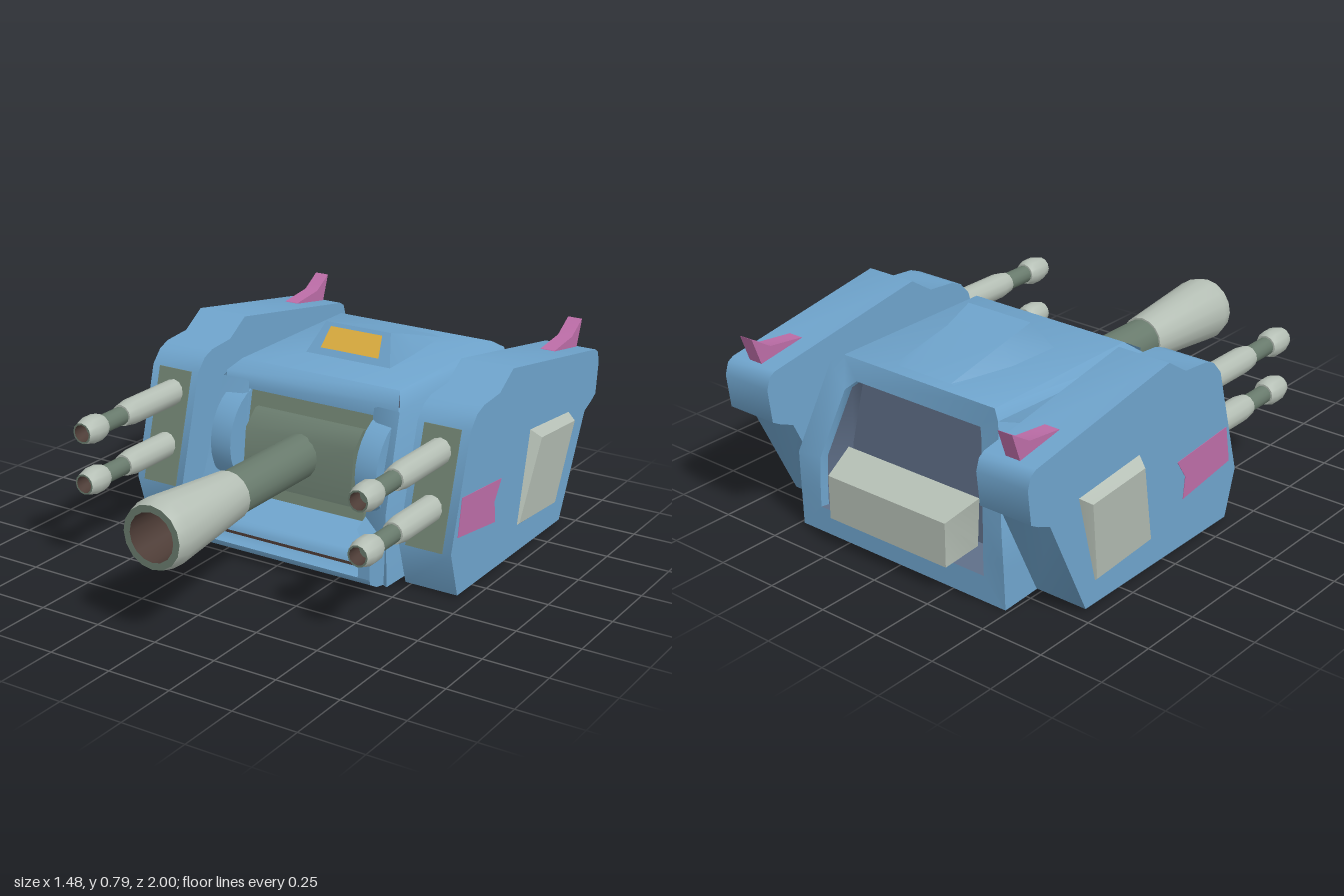
import * as THREE from 'three';
import { toCreasedNormals } from 'three/addons/utils/BufferGeometryUtils.js';

const mat = (name, color) => {
  const m = new THREE.MeshStandardMaterial({ color, side: THREE.DoubleSide });
  m.name = name;
  return m;
};

export function createModel() {
  const root = new THREE.Group();
  root.name = 'gunTurret';
  const blue = mat('blue paint', 0x6ea3cb);
  const slate = mat('slate interior', 0x5f6f88);
  const grey = mat('light grey metal', 0xb4beb4);
  const dark = mat('dark green metal', 0x687a6c);
  const olive = mat('olive panel', 0x718473);
  const brown = mat('dark brown', 0x4d3c36);
  const pink = mat('pink paint', 0xbb6ca6);
  const yellow = mat('yellow window', 0xe0b040);

  const add = (name, geo, material, parent = root, crease = 0.8) => {
    const m = new THREE.Mesh(toCreasedNormals(geo, crease), material);
    m.name = name;
    parent.add(m);
    return m;
  };
  // side profile of [z, y] points, extruded to width w about x
  const side = (pts, w, x = 0) => {
    const shape = new THREE.Shape(pts.map(([z, y]) => new THREE.Vector2(z, y)));
    const g = new THREE.ExtrudeGeometry(shape, { depth: w, bevelEnabled: false });
    return g.rotateY(-Math.PI / 2).translate(x + w / 2, 0, 0);
  };
  // surface through rows of [x, y, z] points
  const loft = (rows) => {
    const n = rows[0].length, idx = [];
    for (let i = 0; i < rows.length - 1; i++)
      for (let j = 0; j < n - 1; j++) {
        const a = i * n + j, b = a + n;
        idx.push(a, a + 1, b, b, a + 1, b + 1);
      }
    const g = new THREE.BufferGeometry();
    g.setAttribute('position', new THREE.Float32BufferAttribute(rows.flat(2), 3));
    g.setIndex(idx);
    return g.toNonIndexed();
  };
  // turned part along z from [radius, z] points
  const turned = (pts, x, y, n = 12) =>
    new THREE.LatheGeometry(pts.map(([r, z]) => new THREE.Vector2(r, z)), n)
      .rotateX(Math.PI / 2).translate(x, y, 0);
  // mirror half of a section into a full arch, running from -x to +x
  const arch = (half) => [...half.map(([x, y, z]) => [-x, y, z]), ...[...half].reverse()];
  // row spanning from +x to -x
  const span = (x, y, z) => [[x, y, z], [-x, y, z]];

  // hull shell, open underneath
  const hull = new THREE.Group();
  hull.name = 'hull';
  root.add(hull);
  const front = [[0.44, 0, 0.19], [0.43, 0.16, 0.18], [0.405, 0.26, 0.145], [0.39, 0.62, 0.03], [0.35, 0.675, -0.04]];
  const rear = [[0.485, 0, -0.865], [0.483, 0.16, -0.87], [0.48, 0.3, -0.875], [0.39, 0.65, -0.78], [0.35, 0.675, -0.75]];
  add('hullShell', loft([arch(rear), arch(front)]), blue, hull);
  add('roofFront', loft([span(0.38, 0.585, 0.025), span(0.38, 0.64, 0.02), span(0.35, 0.675, -0.04)].map((r) => r.reverse()).reverse()), blue, hull, 1.2);

  // rim round the rear opening, and the shallow slate niche behind it
  const rimIn = [[0.39, 0.1, -0.865], [0.388, 0.18, -0.865], [0.385, 0.3, -0.86], [0.32, 0.56, -0.785], [0.29, 0.59, -0.755]];
  const rimDeep = rimIn.map(([x, y, z]) => [x * 0.98, y, z + 0.03]);
  const niche = rimDeep.map(([x, y]) => [x, y, -0.7]);
  add('rearRim', loft([arch(rimDeep), arch(rimIn), arch(rear)]), blue, hull);
  add('rearSill', loft([span(0.39, 0.1, -0.865), span(0.485, 0, -0.865)]), blue, hull);
  add('nicheWalls', loft([arch(niche), arch(rimDeep)]), slate, hull);
  add('nicheBack', loft([...niche].reverse().map((p) => span(...p))), slate, hull);
  add('nicheFloor', loft([span(0.39, 0.1, -0.865), span(0.382, 0.1, -0.7)]), slate, hull);

  // front sill built round a recessed slot
  add('sillTop', side([[0.08, 0.19], [0.18, 0.15], [0.25, 0.15], [0.275, 0.138], [0.285, 0.115],
    [0.19, 0.115], [0.15, 0.13], [0.06, 0.16]], 0.85), blue, hull);
  add('sillBottom', side([[0.285, 0.06], [0.28, 0.04], [0.235, 0.015], [0.16, 0], [0.15, 0.01],
    [0.19, 0.06]], 0.85), blue, hull, 1.2);
  for (const s of [-1, 1])
    add('sillEnd', side([[0.285, 0.06], [0.285, 0.115], [0.15, 0.13], [0.15, 0.01]], 0.05, s * 0.4), blue, hull);
  add('frontSlot', new THREE.BoxGeometry(0.75, 0.075, 0.008).translate(0, 0.0875, 0.2), brown, hull);

  // cheeks and rounded hinge brackets beside the gun
  for (const s of [-1, 1]) {
    add('cheek', loft([
      [[s * 0.39, 0.62, 0.03], [s * 0.275, 0.62, 0.02]],
      [[s * 0.405, 0.26, 0.145], [s * 0.275, 0.2, 0.07]],
      [[s * 0.43, 0.16, 0.18], [s * 0.275, 0.16, 0.15]],
      [[s * 0.44, 0, 0.19], [s * 0.4, 0, 0.17]],
    ]), blue, hull);
    add('hingeBracket', new THREE.CylinderGeometry(0.205, 0.205, 0.09, 28)
      .rotateZ(Math.PI / 2).translate(s * 0.322, 0.382, -0.052), blue, hull);
  }

  // roof cupola
  const base = -0.235, top = -0.315;
  add('cupola', loft([
    [[-0.16, 0.67, -0.7], [-0.11, 0.677, -0.7], [0.11, 0.677, -0.7], [0.16, 0.67, -0.7]],
    [[-0.18, 0.67, -0.45], [-0.13, 0.746, -0.45], [0.13, 0.746, -0.45], [0.18, 0.67, -0.45]],
    [[-0.19, 0.67, base], [-0.145, 0.787, top], [0.145, 0.787, top], [0.19, 0.67, base]],
    [[-0.19, 0.67, base], [-0.19, 0.67, base], [0.19, 0.67, base], [0.19, 0.67, base]],
  ]), blue, hull);
  const cz = (y) => base - (y - 0.67) * 0.684 + 0.005;
  add('cupolaWindow', loft([span(0.13, 0.7, cz(0.7)), span(0.115, 0.775, cz(0.775))]), yellow, hull);

  // equipment box in the rear opening
  const box = side([[-0.93, 0.12], [-0.93, 0.29], [-0.79, 0.34], [-0.75, 0.31], [-0.75, 0.12]], 0.62);
  const bp = box.attributes.position;
  for (let i = 0; i < bp.count; i++) {
    const z = bp.getZ(i);
    if (z < -0.9) bp.setX(i, bp.getX(i) * 0.89);
    else if (z > -0.77) bp.setX(i, bp.getX(i) * 0.85);
  }
  add('rearBox', box, grey);

  // gun mount
  add('mountFrame', side([[0.0, 0.59], [0.09, 0.18], [0.05, 0.18], [-0.04, 0.59]], 0.55), olive);
  add('mountBlock', side([[0.0, 0.52], [0.035, 0.52], [0.1, 0.46], [0.125, 0.25], [0.05, 0.25]], 0.48), dark);

  // main cannon
  const gy = 0.39;
  add('cannonBarrel', turned([[0.085, 0.04], [0.085, 0.56]], 0, gy, 16), dark);
  add('cannonMuzzle', turned([[0.085, 0.55], [0.092, 0.55], [0.13, 0.95], [0.118, 1]], 0, gy, 16), grey);
  add('cannonRim', turned([[0.118, 1], [0.092, 1]], 0, gy, 16), dark);
  add('cannonBore', turned([[0.092, 1], [0.085, 0.8]], 0, gy, 16), brown);
  add('cannonBoreEnd', new THREE.CircleGeometry(0.086, 16).translate(0, gy, 0.8), dark);

  // side pods
  const podProfile = [[0.13, 0.01], [0.185, 0.19], [0.065, 0.62], [0.02, 0.67], [-0.03, 0.69],
    [-0.15, 0.70], [-0.25, 0.765], [-0.96, 0.645], [-0.985, 0.63], [-1, 0.585], [-0.985, 0.455],
    [-0.95, 0.435], [-0.89, 0.41], [-0.7, 0.01]];
  const decal = [[0.115, 0.385], [-0.185, 0.36], [-0.135, 0.285], [-0.145, 0.2], [0.14, 0.24]];
  for (const s of [-1, 1]) {
    const pod = new THREE.Group();
    pod.name = s > 0 ? 'leftPod' : 'rightPod';
    root.add(pod);
    add('podBody', side(podProfile, 0.215, s * 0.5925), blue, pod, 1.2);
    add('gunPanel', side([[0.18, 0.185], [0.19, 0.187], [0.07, 0.62], [0.06, 0.618]], 0.15, s * 0.59), olive, pod);
    add('podStripe', side(decal, 0.006, s * 0.699), pink, pod);
    add('podFin', side([[-0.74, 0.67], [-0.75, 0.683], [-0.9, 0.7], [-0.985, 0.752], [-0.945, 0.64]], 0.06, s * 0.595), pink, pod);

    // wedge-shaped armour plate on the outer wall
    const rim = [[0.7, 0.48, -0.41], [0.7, 0.45, -0.74], [0.7, 0.1, -0.65], [0.7, 0.12, -0.33]];
    const face = [[0.74, 0.45, -0.43], [0.74, 0.43, -0.715], [0.706, 0.105, -0.645], [0.706, 0.125, -0.34]];
    const m = (pts) => {
      const row = pts.map(([x, y, z]) => [s * x, y, z]);
      return s > 0 ? row.reverse() : row;
    };
    add('armourPlateEdge', loft([m([...rim, rim[0]]), m([...face, face[0]])]), grey, pod);
    add('armourPlate', loft([m([face[0], face[1]]), m([face[3], face[2]])]), grey, pod);

    // twin guns
    for (const y of [0.33, 0.53]) {
      const x = s * 0.59;
      add('gunSleeve', turned([[0.05, 0.03], [0.05, 0.36], [0.042, 0.41], [0.03, 0.41]], x, y), grey, pod);
      add('gunBarrel', turned([[0.035, 0.4], [0.035, 0.54]], x, y), dark, pod);
      add('gunMuzzle', turned([[0.03, 0.53], [0.042, 0.53], [0.052, 0.555], [0.052, 0.6], [0.04, 0.64]], x, y), grey, pod);
      add('gunRim', turned([[0.04, 0.64], [0.033, 0.64]], x, y), dark, pod);
      add('gunBore', turned([[0.033, 0.64], [0.03, 0.58]], x, y), brown, pod);
      add('gunBoreEnd', new THREE.CircleGeometry(0.031, 12).translate(x, y, 0.58), dark, pod);
    }
  }
  return root;
}
